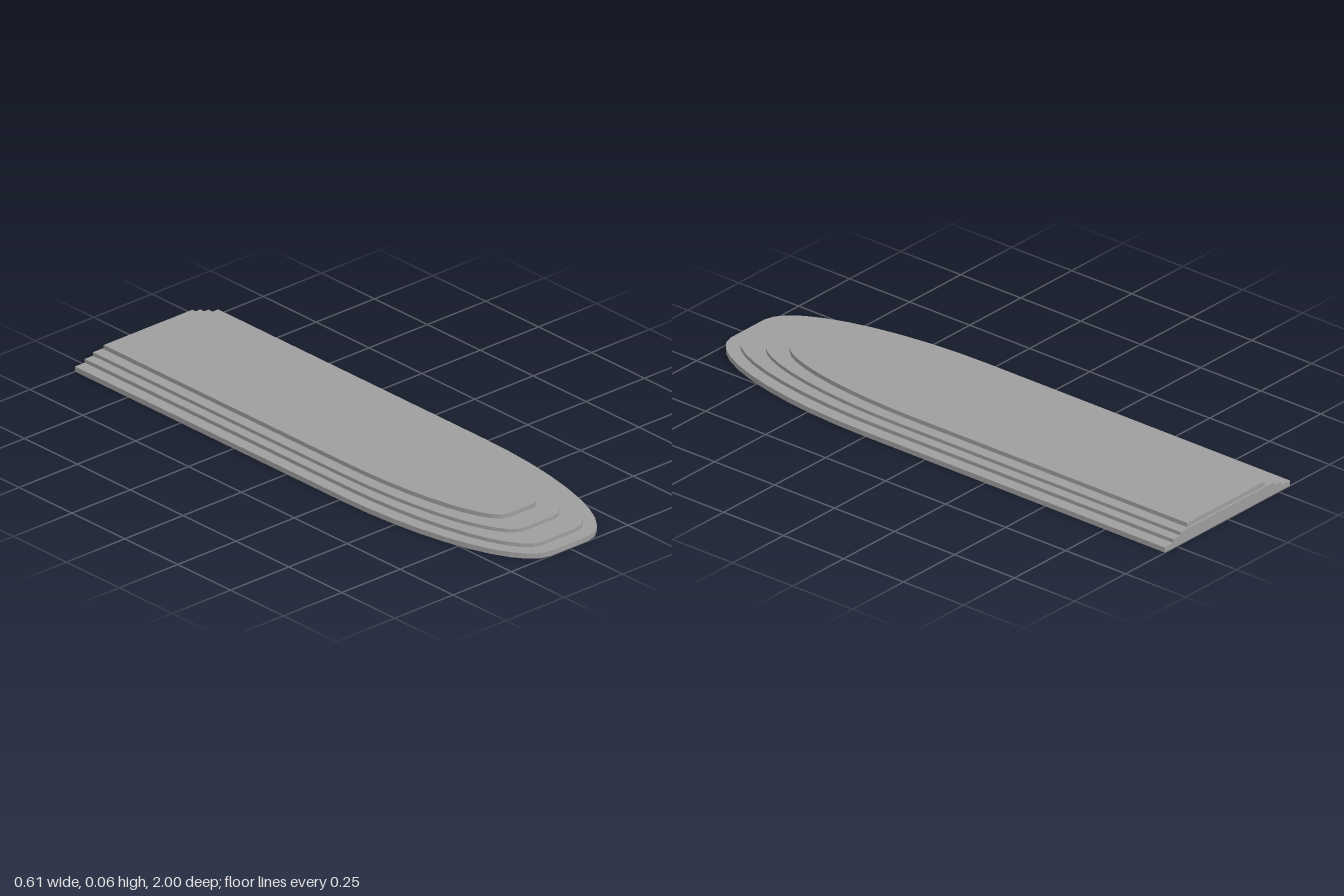
import * as THREE from 'three';

// Each tier: half width, half width of the blunt tip, start of the curve, tip z, back z, bottom, top
const TIERS = [
  { name: 'baseTier', w: 0.307, tip: 0.08, bend: 0.26, front: 1.0, back: -1, y0: 0, y1: 0.018 },
  { name: 'secondTier', w: 0.265, tip: 0.072, bend: 0.23, front: 0.952, back: -1, y0: 0.018, y1: 0.031 },
  { name: 'thirdTier', w: 0.23, tip: 0.063, bend: 0.19, front: 0.857, back: -1, y0: 0.031, y1: 0.043 },
  { name: 'topTier', w: 0.19, tip: 0.052, bend: 0.15, front: 0.77, back: -0.993, y0: 0.043, y1: 0.058 },
];

// Square back, straight sides and elliptical shoulders running to a blunt tip
function tierShape({ w, tip, bend, front, back }) {
  const s = new THREE.Shape();
  const rx = w - tip, rz = front - bend;
  s.moveTo(-w, back);
  s.lineTo(w, back);
  s.lineTo(w, bend);
  s.absellipse(tip, bend, rx, rz, 0, Math.PI / 2, false, 0);
  s.lineTo(-tip, front);
  s.absellipse(-tip, bend, rx, rz, Math.PI / 2, Math.PI, false, 0);
  s.closePath();
  return s;
}

export function createModel() {
  const model = new THREE.Group();
  model.name = 'steppedPlatform';
  const material = new THREE.MeshStandardMaterial({ color: 0x9e9e9e, flatShading: true });

  for (const tier of TIERS) {
    const geometry = new THREE.ExtrudeGeometry(tierShape(tier), {
      depth: tier.y1 - tier.y0, bevelEnabled: false, curveSegments: 5,
    });
    // Lay the outline flat, with its tip towards +z
    geometry.rotateX(Math.PI / 2);
    geometry.translate(0, tier.y1, 0);
    const mesh = new THREE.Mesh(geometry, material);
    mesh.name = tier.name;
    model.add(mesh);
  }
  return model;
}
